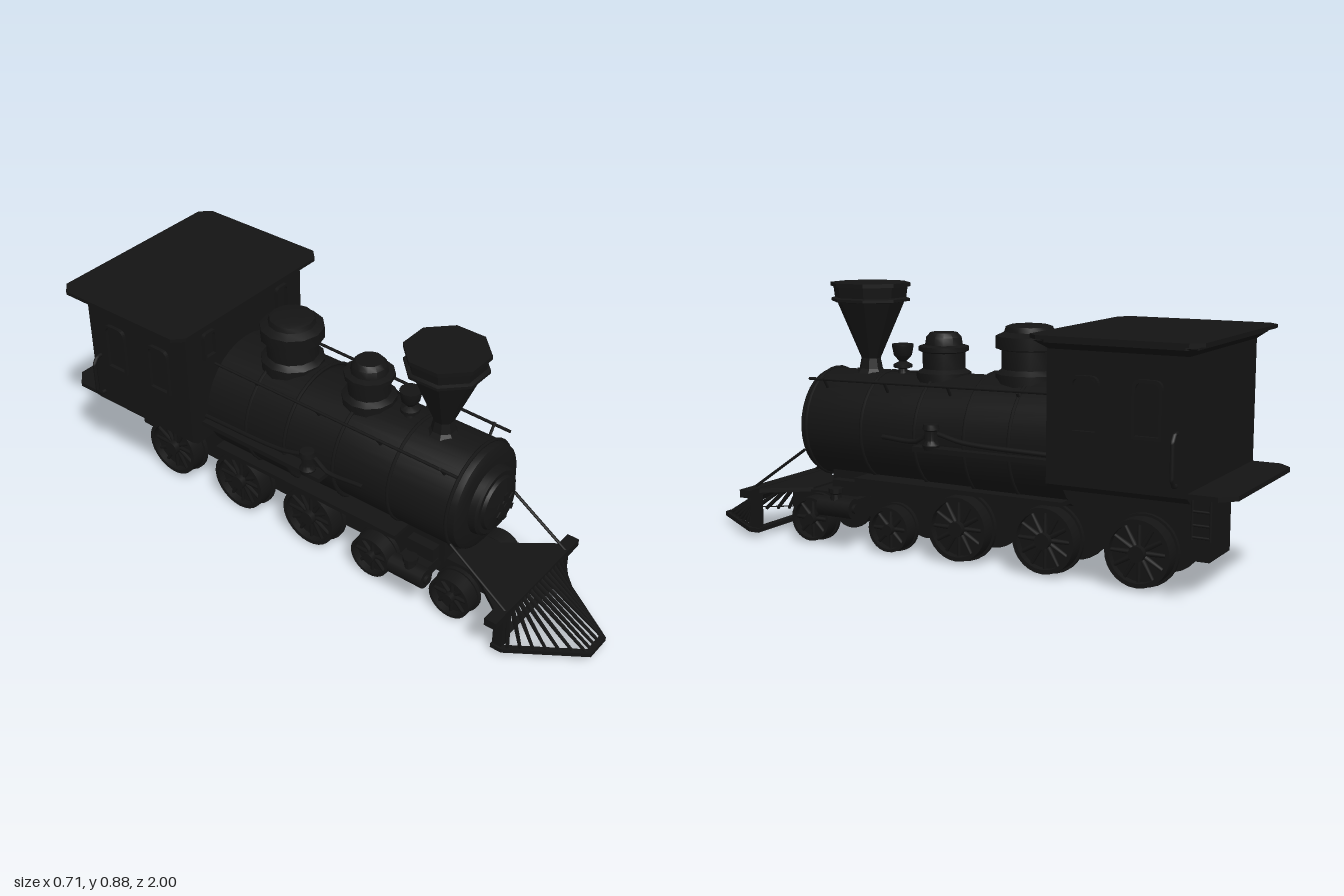
import * as THREE from 'three';
import { toCreasedNormals } from 'three/addons/utils/BufferGeometryUtils.js';

const mat = new THREE.MeshStandardMaterial({ color: 0x141414 });
const V = (x, y, z) => new THREE.Vector3(x, y, z);

export function createModel() {
  const root = new THREE.Group();

  const add = (name, geo, x = 0, y = 0, z = 0, parent = root) => {
    const m = new THREE.Mesh(geo, mat);
    m.name = name;
    m.position.set(x, y, z);
    parent.add(m);
    return m;
  };
  // box given by its limits
  const box = (name, x0, x1, y0, y1, z0, z1, parent) =>
    add(name, new THREE.BoxGeometry(x1 - x0, y1 - y0, z1 - z0),
      (x0 + x1) / 2, (y0 + y1) / 2, (z0 + z1) / 2, parent);
  // straight bar between two points
  const bar = (name, a, b, r0, r1 = r0, sides = 8, parent = root) => {
    const m = add(name, new THREE.CylinderGeometry(r1, r0, a.distanceTo(b), sides), 0, 0, 0, parent);
    m.position.copy(a).add(b).multiplyScalar(0.5);
    m.quaternion.setFromUnitVectors(V(0, 1, 0), b.clone().sub(a).normalize());
    return m;
  };
  const lathe = (pts, sides = 32) => toCreasedNormals(
    new THREE.LatheGeometry(pts.map(p => new THREE.Vector2(...p)), sides), 0.6);
  // flat plate from an x/z outline
  const plate = (name, pts, y0, y1, hole) => {
    const shape = new THREE.Shape(pts.map(p => new THREE.Vector2(p[0], -p[1])));
    if (hole) shape.holes.push(new THREE.Path(hole.map(p => new THREE.Vector2(p[0], -p[1]))));
    const g = new THREE.ExtrudeGeometry(shape, { depth: y1 - y0, bevelEnabled: false });
    g.rotateX(-Math.PI / 2);
    return add(name, g, 0, y0, 0);
  };
  // rectangle with cut corners
  const cut = (w, z0, z1, c) => [[-w, z0 + c], [-w + c, z0], [w - c, z0], [w, z0 + c],
    [w, z1 - c], [w - c, z1], [-w + c, z1], [-w, z1 - c]];
  const both = fn => [-1, 1].forEach(fn);

  // Boiler, smokebox and nose
  const cy = 0.405;
  const boiler = lathe([[0, -0.42], [0.205, -0.42], [0.205, -0.09], [0.192, -0.09], [0.19, 0.1],
    [0.182, 0.1], [0.182, 0.53], [0.176, 0.555], [0.16, 0.565], [0.118, 0.568], [0.115, 0.59],
    [0.107, 0.597], [0.092, 0.597], [0.088, 0.608], [0.05, 0.616], [0.03, 0.622], [0, 0.622]]);
  boiler.rotateX(Math.PI / 2);
  add('boiler', boiler, 0, cy, 0);
  for (const [z, r] of [[0.53, 0.183], [0.31, 0.183], [0.1, 0.191], [-0.09, 0.204], [-0.25, 0.206]])
    add('boilerBand', new THREE.TorusGeometry(r, 0.006, 6, 32), 0, cy, z);
  // Handwheel on the nose
  add('noseHub', new THREE.CylinderGeometry(0.014, 0.014, 0.02, 12).rotateX(Math.PI / 2), 0, cy, 0.622);
  for (let i = 0; i < 6; i++) {
    const blade = box('noseBlade', -0.009, 0.009, -0.048, 0.048, -0.002, 0.002);
    blade.position.set(0, cy, 0.628);
    blade.rotation.z = i * Math.PI / 6 * 2 / 2;
    if (i % 2) blade.scale.set(0.5, 0.6, 1);
  }

  // Smokestack
  const stack = new THREE.LatheGeometry([[0.055, 0.575], [0.04, 0.595], [0.033, 0.63], [0.115, 0.82],
    [0.134, 0.823], [0.134, 0.832], [0.122, 0.836], [0.127, 0.872], [0.136, 0.872], [0.136, 0.885], [0, 0.885]]
    .map(p => new THREE.Vector2(...p)), 8, Math.PI / 8);
  add('smokestack', toCreasedNormals(stack, 0.3), 0, 0, 0.387);

  // Bell and domes
  add('bell', lathe([[0.022, 0.57], [0.014, 0.6], [0.032, 0.605], [0.032, 0.615], [0.012, 0.625], [0.03, 0.645],
    [0.036, 0.675], [0.036, 0.683], [0, 0.683]], 12), 0, 0, 0.26);
  add('sandDome', lathe([[0.09, 0.57], [0.09, 0.6], [0.07, 0.612], [0.07, 0.665], [0.083, 0.67], [0.083, 0.685],
    [0.062, 0.69], [0.058, 0.715], [0.045, 0.73], [0, 0.732]], 12), 0, 0, 0.1);
  add('steamDome', lathe([[0.107, 0.57], [0.107, 0.615], [0.088, 0.63], [0.088, 0.69], [0.107, 0.695], [0.107, 0.735],
    [0.08, 0.748], [0.075, 0.765], [0.06, 0.77], [0, 0.77]], 12), 0, 0, -0.215);

  // Side fittings on the boiler
  both(s => {
    bar('handrail', V(s * 0.145, 0.565, 0.54), V(s * 0.155, 0.58, -0.42), 0.005);
    for (const z of [0.48, 0.24, 0, -0.25])
      bar('handrailPost', V(s * 0.12, 0.53, z), V(s * 0.149, 0.572, z), 0.005);
    box('runningBoard', Math.min(s * 0.17, s * 0.235), Math.max(s * 0.17, s * 0.235), 0.372, 0.388, -0.42, 0.08);
    box('lowerLedge', Math.min(s * 0.08, s * 0.178), Math.max(s * 0.08, s * 0.178), 0.235, 0.25, -0.42, 0.34);
    add('airPump', lathe([[0, 0.38], [0.024, 0.38], [0.028, 0.395], [0.02, 0.41], [0.02, 0.44], [0.027, 0.445],
      [0.024, 0.462], [0, 0.465]], 12), s * 0.217, 0, -0.02 + 0.04);
    const path = new THREE.CatmullRomCurve3([V(s * 0.19, 0.4, 0.22), V(s * 0.2, 0.4, 0.08), V(s * 0.2, 0.43, 0.04),
      V(s * 0.212, 0.41, -0.1), V(s * 0.214, 0.4, -0.42)]);
    add('sidePipe', new THREE.TubeGeometry(path, 24, 0.008, 6), 0, 0, 0);
    // Strut from the smokebox to the front beam
    bar('frontStrut', V(s * 0.177, 0.17, 0.765), V(s * 0.172, 0.325, 0.545), 0.005);
    // Steam cylinders
    add('steamCylinder', new THREE.CylinderGeometry(0.034, 0.034, 0.13, 16).rotateX(Math.PI / 2), s * 0.183, 0.145, 0.405);
    add('cylinderCap', new THREE.CylinderGeometry(0.016, 0.016, 0.15, 12).rotateX(Math.PI / 2), s * 0.183, 0.145, 0.405);
    add('valveChest', lathe([[0, 0.165], [0.02, 0.165], [0.018, 0.19], [0.025, 0.195], [0.025, 0.21], [0, 0.21]], 10),
      s * 0.187, 0, 0.41);
  });

  // Frame
  box('mainFrame', -0.09, 0.09, 0.098, 0.33, -0.865, 0.335);
  box('frontFrame', -0.085, 0.085, 0.1, 0.168, 0.33, 0.665);
  box('saddle', -0.1, 0.1, 0.16, 0.26, 0.34, 0.48);
  box('saddleFoot', -0.135, 0.135, 0.175, 0.225, 0.36, 0.46);
  box('cylinderBridge', -0.18, 0.18, 0.13, 0.17, 0.35, 0.46);
  plate('frontDeck', [[-0.08, 0.58], [0.08, 0.58], [0.2, 0.74], [-0.2, 0.74]], 0.16, 0.175);
  box('frontBeam', -0.245, 0.245, 0.15, 0.177, 0.728, 0.77);

  // Pilot
  plate('pilotBase', [[-0.2, 0.73], [0.2, 0.73], [0.2, 0.77], [0.045, 1], [-0.045, 1], [-0.2, 0.77]], 0.02, 0.035,
    [[-0.178, 0.755], [0.178, 0.755], [0.178, 0.768], [0.036, 0.98], [-0.036, 0.98], [-0.178, 0.768]]);
  both(s => box('pilotPost', s * 0.18 - 0.013, s * 0.18 + 0.013, 0.03, 0.16, 0.732, 0.765));
  for (let i = -8; i <= 8; i++) {
    const x = i * 0.0228, ax = Math.abs(x);
    const z = ax < 0.045 ? 0.988 : 0.988 - (ax - 0.045) * 1.5;
    bar('pilotSlat', V(x, 0.028, z), V(x * 0.88, 0.163, 0.762), 0.0065, 0.0105, 4);
  }

  // Wheels: flange, solid back, rim, spokes and hub
  const wheel = (name, r, z, spokes, s) => {
    const g = new THREE.Group();
    g.name = name;
    const disc = (part, rad, x0, x1) =>
      add(part, new THREE.CylinderGeometry(rad, rad, x1 - x0, 28).rotateZ(Math.PI / 2), (x0 + x1) / 2, 0, 0, g);
    disc('flange', r, 0, 0.014);
    disc('wheelBack', r * 0.9, 0.014, 0.04);
    disc('hub', r * 0.22, 0.04, 0.072);
    const rim = lathe([[r * 0.8, 0.014], [r * 0.93, 0.014], [r * 0.92, 0.065], [r * 0.8, 0.065], [r * 0.8, 0.014]], 28);
    add('rim', rim.rotateZ(-Math.PI / 2), 0, 0, 0, g);
    for (let i = 0; i < spokes; i++) {
      const a = i / spokes * Math.PI * 2;
      bar('spoke', V(0.045, 0, 0), V(0.045, Math.cos(a) * r * 0.85, Math.sin(a) * r * 0.85), 0.009, 0.006, 6, g);
    }
    g.position.set(s * 0.092, r, z);
    if (s < 0) g.rotation.y = Math.PI;
    root.add(g);
  };
  both(s => {
    for (const z of [0.54, 0.225]) wheel('leadingWheel', 0.082, z, 8, s);
    for (const z of [-0.035, -0.345, -0.66]) wheel('drivingWheel', 0.115, z, 12, s);
  });
  for (const [z, r] of [[0.54, 0.082], [0.225, 0.082], [-0.035, 0.115], [-0.345, 0.115], [-0.66, 0.115]])
    bar('axle', V(-0.12, r, z), V(0.12, r, z), 0.015);

  // Cab: body with cut lower edges
  const cab = new THREE.Shape([[-0.26, 0.31], [0.26, 0.31], [0.287, 0.33], [0.287, 0.745], [-0.287, 0.745], [-0.287, 0.33]]
    .map(p => new THREE.Vector2(...p)));
  add('cab', new THREE.ExtrudeGeometry(cab, { depth: 0.445, bevelEnabled: false }), 0, 0, -0.865);
  plate('rearPlatform', cut(0.285, -1, -0.6, 0.045), 0.33, 0.345);
  // Roof layers
  const eave = new THREE.CylinderGeometry(Math.SQRT1_2, 0.615, 1, 4).rotateY(Math.PI / 4);
  eave.scale(0.655, 0.028, 0.5);
  add('eave', eave, 0, 0.746, -0.645);
  plate('roofTrim', cut(0.33, -0.895, -0.4, 0.03), 0.755, 0.768);
  plate('roof', cut(0.355, -0.92, -0.38, 0.035), 0.766, 0.778);

  // Arched window frames with panes
  const arch = (Path, w, h) => {
    const p = new Path();
    p.moveTo(-w, 0);
    p.lineTo(w, 0);
    p.lineTo(w, h - w * 0.6);
    p.quadraticCurveTo(w, h, w * 0.4, h);
    p.lineTo(-w * 0.4, h);
    p.quadraticCurveTo(-w, h, -w, h - w * 0.6);
    p.lineTo(-w, 0);
    return p;
  };
  const windowFrame = (w, h, x, y, z, turn) => {
    const shape = arch(THREE.Shape, w, h);
    const hole = arch(THREE.Path, w - 0.009, h - 0.018);
    shape.holes.push(new THREE.Path(hole.getPoints(6).map(p => p.add(new THREE.Vector2(0, 0.009)))));
    const g = new THREE.ExtrudeGeometry(shape, { depth: 0.014, bevelEnabled: false, curveSegments: 6 });
    add('windowFrame', g, x, y, z).rotation.y = turn;
  };
  both(s => {
    for (const z of [-0.545, -0.742]) windowFrame(0.046, 0.172, s * 0.286, 0.49, z, s * Math.PI / 2);
    windowFrame(0.03, 0.1, s * 0.182, 0.622, -0.421, 0);
    // Grab rails
    const rail = new THREE.CurvePath();
    const p = [V(0.28, 0.515, -0.83), V(0.305, 0.515, -0.83), V(0.32, 0.495, -0.83), V(0.32, 0.385, -0.83),
      V(0.305, 0.365, -0.83), V(0.28, 0.365, -0.83)].map(v => V(v.x * s, v.y, v.z));
    for (let i = 0; i < 5; i++) rail.add(new THREE.LineCurve3(p[i], p[i + 1]));
    add('grabRail', new THREE.TubeGeometry(rail, 30, 0.007, 6));
  });

  // Boarding ladder on the left side only
  for (const z of [-0.877, -0.932]) bar('ladderRail', V(0.276, 0.212, z), V(0.276, 0.335, z), 0.004);
  for (const y of [0.22, 0.255, 0.295]) bar('ladderRung', V(0.276, y, -0.877), V(0.276, y, -0.932), 0.004);

  return root;
}
